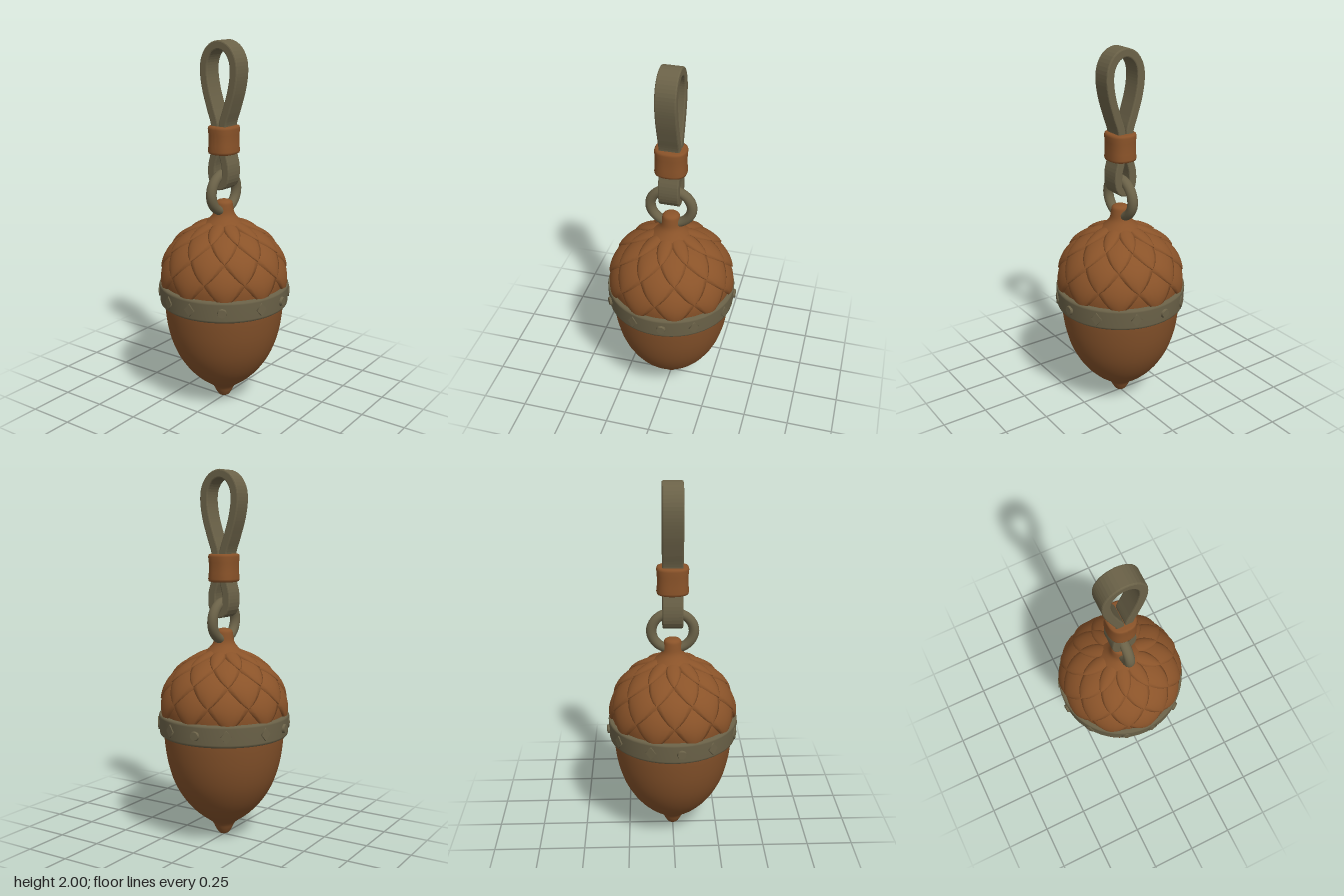
import * as THREE from 'three';

const brown = new THREE.MeshStandardMaterial({ color: 0x8a5329, side: THREE.DoubleSide });
brown.name = 'acorn brown';
const nutBrown = new THREE.MeshStandardMaterial({ color: 0x825029 });
nutBrown.name = 'nut brown';
const olive = new THREE.MeshStandardMaterial({ color: 0x6b6248 });
olive.name = 'olive metal';

const pts = (list) => list.map(([x, y]) => new THREE.Vector2(x, y));

function add(parent, name, geometry, material) {
  const mesh = new THREE.Mesh(geometry, material);
  mesh.name = name;
  parent.add(mesh);
  return mesh;
}

// One overlapping scale: a domed patch on the cap profile, pointed at its lower tip
function scaleGeometry(profile, s0, length, halfAngle, angle) {
  const cols = [-1, -1, -0.7, -0.35, 0, 0.35, 0.7, 1, 1], rows = 9;
  const pos = [], index = [];
  for (let j = 0; j <= rows; j++) {
    const v = j / rows;
    const s = THREE.MathUtils.clamp(s0 + v * length, 0, 1);
    const p = profile.getPointAt(s), t = profile.getTangentAt(s);
    const w = halfAngle * Math.pow(Math.min(1, v * 1.7), 0.8);
    cols.forEach((u, i) => {
      const rim = i === 0 || i === cols.length - 1;
      const bulge = 0.011 * (1 - u * u) * Math.sin(Math.PI * Math.min(1, 0.15 + v * 0.85));
      const off = rim ? -0.012 : 0.002 + 0.008 * (1 - v) + bulge;
      const r = p.x + t.y * off, y = p.y - t.x * off, a = angle + u * w;
      pos.push(r * Math.sin(a), y, r * Math.cos(a));
    });
  }
  const n = cols.length;
  for (let j = 0; j < rows; j++) {
    for (let i = 0; i < n - 1; i++) {
      const a = j * n + i;
      index.push(a, a + 1, a + n, a + 1, a + n + 1, a + n);
    }
  }
  const g = new THREE.BufferGeometry();
  g.setAttribute('position', new THREE.Float32BufferAttribute(pos, 3));
  g.setIndex(index);
  g.computeVertexNormals();
  return g;
}

// Flat strap bent into a closed loop, from an offset centre line
function strapGeometry(half, thickness, width) {
  const mirrored = half.slice(1, -1).reverse().map(([x, y]) => [-x, y]);
  const path = new THREE.CatmullRomCurve3(
    [...half, ...mirrored].map(([x, y]) => new THREE.Vector3(x, y, 0)), true);
  const bevel = 0.007, d = thickness / 2 - bevel, outer = [], inner = [];
  for (let i = 0; i < 96; i++) {
    const p = path.getPointAt(i / 96), t = path.getTangentAt(i / 96);
    outer.push(new THREE.Vector2(p.x - t.y * d, p.y + t.x * d));
    // The two arms press together at the neck without crossing
    const x = p.x + t.y * d;
    const side = i < 48 ? 1 : -1;
    inner.push(new THREE.Vector2(i % 48 ? side * Math.max(side * x, 0.009) : 0, p.y - t.x * d));
  }
  const shape = new THREE.Shape(outer.reverse());
  shape.holes.push(new THREE.Path(inner));
  const g = new THREE.ExtrudeGeometry(shape, {
    depth: width - 2 * bevel, bevelEnabled: true, bevelSize: bevel, bevelThickness: bevel, bevelSegments: 2,
  });
  return g.translate(0, 0, bevel - width / 2);
}

export function createModel() {
  const model = new THREE.Group();
  model.name = 'acornCharm';

  // Nut with a small rounded tip
  const nutCurve = new THREE.SplineCurve(pts([
    [0, 0.005], [0.028, 0.018], [0.046, 0.045], [0.07, 0.085], [0.145, 0.142], [0.217, 0.22],
    [0.274, 0.32], [0.308, 0.43], [0.325, 0.55], [0.328, 0.64],
  ]));
  const nutPoints = nutCurve.getPoints(36);
  nutPoints[0].x = 0;
  add(model, 'nut', new THREE.LatheGeometry(nutPoints, 40), nutBrown);

  // Cap dome and stem
  const capCurve = new THREE.SplineCurve(pts([
    [0.328, 0.67], [0.334, 0.75], [0.312, 0.84], [0.262, 0.92], [0.195, 0.977], [0.125, 1.018], [0.065, 1.045],
  ]));
  add(model, 'capDome', new THREE.LatheGeometry(capCurve.getPoints(24), 40), brown);
  add(model, 'stem', new THREE.LatheGeometry(new THREE.SplineCurve(pts([
    [0.125, 1.018], [0.085, 1.052], [0.058, 1.085], [0.05, 1.125], [0.044, 1.15], [0.024, 1.161], [0, 1.163],
  ])).getPoints(20), 24), brown);

  // Overlapping cap scales in staggered rings
  const scales = new THREE.Group();
  scales.name = 'capScales';
  model.add(scales);
  [0, 0.22, 0.44, 0.65].forEach((s, row) => {
    for (let i = 0; i < 10; i++) {
      const angle = (i + (row % 2) / 2) * Math.PI / 5;
      add(scales, 'capScale', scaleGeometry(capCurve, s, 0.4, Math.PI / 10 * 1.1, angle), brown);
    }
  });

  // Band around the rim
  add(model, 'band', new THREE.LatheGeometry(pts([
    [0.315, 0.585], [0.341, 0.585], [0.349, 0.591], [0.351, 0.6], [0.355, 0.688],
    [0.354, 0.696], [0.348, 0.702], [0.315, 0.702],
  ]), 48), olive);

  // Round and diamond studs on the band
  const studs = new THREE.Group();
  studs.name = 'bandStuds';
  model.add(studs);
  const round = [56, -6, -97, 174];
  [21, 56, 85, 110, 145, 174, -159.5, -124, -97, -69.5, -35, -6].forEach((deg) => {
    const isRound = round.includes(deg);
    const g = isRound
      ? new THREE.CylinderGeometry(0.022, 0.027, 0.018, 16)
      : new THREE.CylinderGeometry(0.032, 0.034, 0.009, 4).scale(0.9, 1, 1.1);
    g.rotateX(Math.PI / 2);
    const a = THREE.MathUtils.degToRad(deg), r = isRound ? 0.356 : 0.355;
    const stud = add(studs, isRound ? 'roundStud' : 'diamondStud', g, olive);
    stud.position.set(r * Math.cos(a), 0.645, r * Math.sin(a));
    stud.rotation.y = Math.PI / 2 - a;
  });

  // Ring through the stem
  const ring = add(model, 'ring', new THREE.TorusGeometry(0.114, 0.028, 14, 40), olive);
  ring.rotation.y = Math.PI / 2;
  ring.scale.y = 0.9;
  ring.position.y = 1.203;

  // Strap: large upper loop and small lower loop, pinched in the middle
  add(model, 'strap', strapGeometry([
    [0, 1.977], [0.052, 1.957], [0.086, 1.905], [0.094, 1.84], [0.081, 1.75], [0.051, 1.65], [0.025, 1.57],
    [0.022, 1.49], [0.026, 1.42], [0.043, 1.35], [0.043, 1.29], [0.029, 1.255], [0, 1.243],
  ], 0.046, 0.11), olive);

  // Crimp sleeve: full oval tube with slightly flared ends
  const sleeve = new THREE.LatheGeometry(pts([
    [0, 1.412], [0.85, 1.412], [0.96, 1.416], [1, 1.428], [0.96, 1.46],
    [0.96, 1.515], [1, 1.545], [0.96, 1.557], [0.85, 1.561], [0, 1.561],
  ]), 40);
  const p = sleeve.attributes.position;
  const swell = (c) => Math.sign(c) * Math.pow(Math.abs(c), 0.8);
  for (let i = 0; i < p.count; i++) {
    const r = Math.hypot(p.getX(i), p.getZ(i)) || 1e-6;
    p.setX(i, 0.076 * r * swell(p.getX(i) / r));
    p.setZ(i, 0.086 * r * swell(p.getZ(i) / r));
  }
  sleeve.computeVertexNormals();
  add(model, 'sleeve', sleeve, brown);

  return model;
}
